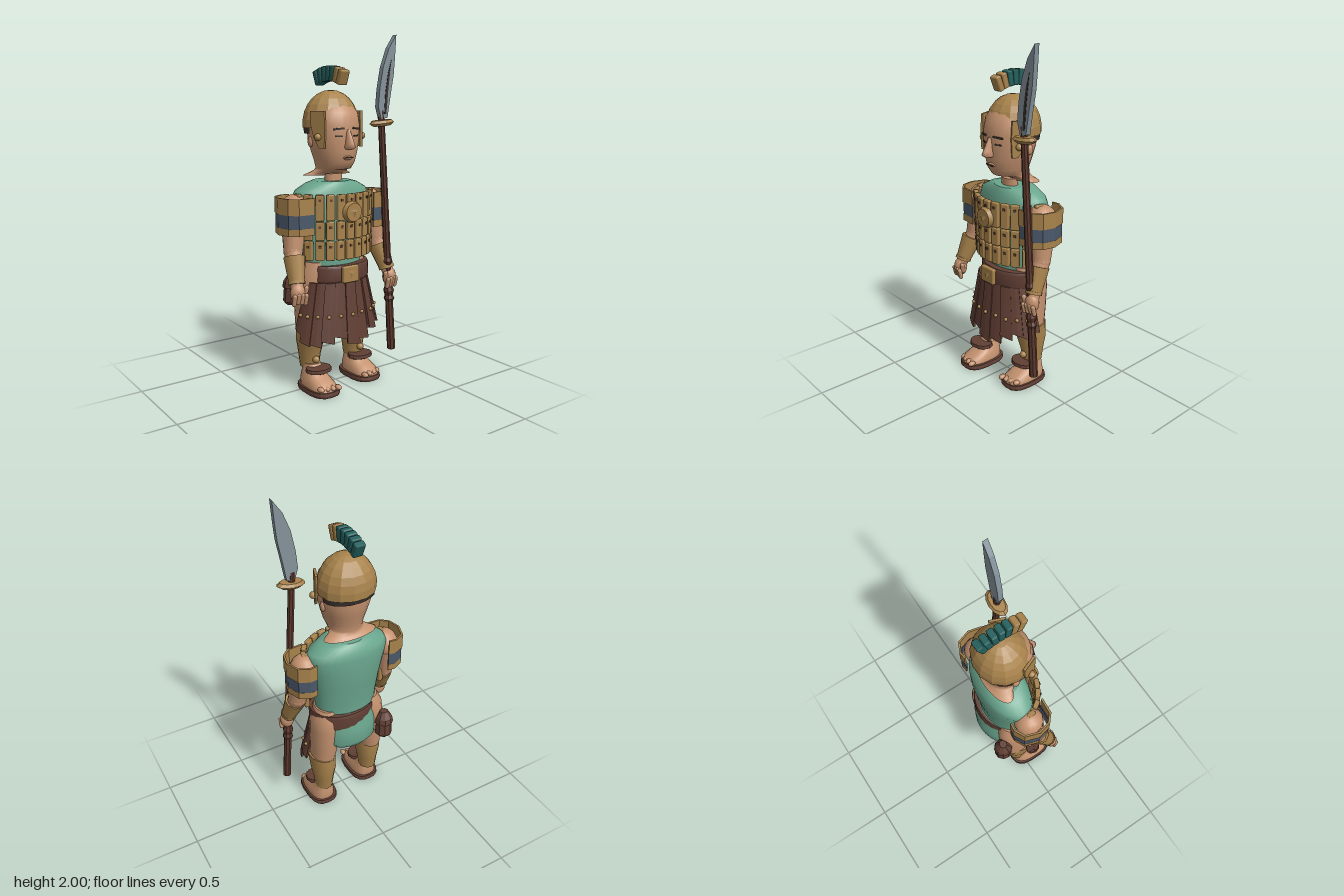
import * as THREE from 'three';
import { RoundedBoxGeometry } from 'three/addons/geometries/RoundedBoxGeometry.js';

const mat = (name, color) => Object.assign(new THREE.MeshStandardMaterial({ color }), { name });

// Stacks oval cross-sections [y, rx, zBack, zFront, xCentre], lowest first, and caps both ends.
function loft(rows, { n = 20, p = 1, flat = false } = {}) {
  const pos = [], idx = [];
  const pw = v => Math.sign(v) * Math.abs(v) ** p;
  const ring = ([y, rx, zb, zf, xc = 0]) => {
    for (let i = 0; i < n; i++) {
      const a = i / n * Math.PI * 2;
      pos.push(xc + rx * pw(Math.sin(a)), y, (zb + zf) / 2 + (zf - zb) / 2 * pw(Math.cos(a)));
    }
  };
  rows.forEach(ring);
  for (let r = 0; r < rows.length - 1; r++) for (let i = 0; i < n; i++) {
    const a = r * n + i, b = r * n + (i + 1) % n;
    idx.push(a, b, b + n, a, b + n, a + n);
  }
  [rows[0], rows[rows.length - 1]].forEach((row, top) => {
    const s = pos.length / 3;
    ring(row);
    pos.push(row[4] || 0, row[0], (row[2] + row[3]) / 2);
    for (let i = 0; i < n; i++) {
      const a = s + i, b = s + (i + 1) % n;
      idx.push(...(top ? [a, b, s + n] : [b, a, s + n]));
    }
  });
  let g = new THREE.BufferGeometry();
  g.setAttribute('position', new THREE.Float32BufferAttribute(pos, 3));
  g.setIndex(idx);
  if (flat) g = g.toNonIndexed();
  g.computeVertexNormals();
  return g;
}

export function createModel() {
  const root = new THREE.Group();
  root.name = 'spearman';
  const gold = mat('gold', 0xa8834c), skin = mat('skin', 0xc4926f), teal = mat('tunicTeal', 0x6aa68e);
  const crestTeal = mat('crestTeal', 0x23605d), leather = mat('leather', 0x613f34), wood = mat('wood', 0x5a372b);
  const blue = mat('bandBlue', 0x4b586a), steel = mat('steel', 0x84929a), dark = mat('dark', 0x37302c);

  const add = (name, geo, m, x = 0, y = 0, z = 0, rx = 0, ry = 0, rz = 0, parent = root) => {
    const mesh = new THREE.Mesh(geo, m);
    mesh.name = name;
    mesh.position.set(x, y, z);
    mesh.rotation.set(rx, ry, rz, 'YXZ');
    parent.add(mesh);
    return mesh;
  };
  const box = (w, h, d) => new THREE.BoxGeometry(w, h, d);
  const ball = (r, sx = 1, sy = 1, sz = 1) => new THREE.SphereGeometry(r, 14, 10).scale(sx, sy, sz);
  const limb = (name, p, q, rp, rq, m, n = 14) => {
    const a = new THREE.Vector3(...p), d = new THREE.Vector3(...q).sub(a);
    const mesh = add(name, new THREE.CylinderGeometry(rq, rp, d.length(), n), m);
    mesh.position.copy(a).addScaledVector(d, 0.5);
    mesh.quaternion.setFromUnitVectors(new THREE.Vector3(0, 1, 0), d.normalize());
  };
  const polygon = pts => new THREE.Shape(pts.map(([x, y]) => new THREE.Vector2(x, y)));
  const plate = (pts, depth) => new THREE.ExtrudeGeometry(polygon(pts), { depth, bevelEnabled: false });

  // Tunic and shorts
  add('tunic', loft([[0.7, 0.185, -0.16, 0.09], [0.78, 0.195, -0.16, 0.09], [0.9, 0.21, -0.175, 0.1],
    [1.02, 0.235, -0.185, 0.1], [1.1, 0.25, -0.182, 0.085], [1.14, 0.232, -0.175, 0.08],
    [1.175, 0.165, -0.155, 0.068], [1.19, 0.11, -0.14, 0.06]], { n: 28 }), teal);
  add('shorts', loft([[0.47, 0.15, -0.18, 0.04], [0.5, 0.175, -0.2, 0.06], [0.6, 0.18, -0.2, 0.08],
    [0.72, 0.18, -0.165, 0.09]], { n: 24 }), teal);
  add('neck', loft([[1.17, 0.055, -0.06, 0.02], [1.23, 0.055, -0.06, 0.02]]), skin);

  // Head with a flared neck edge
  add('head', loft([[1.22, 0.16, -0.15, -0.02], [1.232, 0.13, -0.135, -0.01], [1.248, 0.1, -0.128, 0.03],
    [1.26, 0.098, -0.128, 0.085], [1.3, 0.112, -0.132, 0.112], [1.36, 0.13, -0.15, 0.122],
    [1.42, 0.145, -0.165, 0.124], [1.5, 0.15, -0.17, 0.126], [1.57, 0.142, -0.16, 0.11],
    [1.62, 0.11, -0.14, 0.07], [1.66, 0.06, -0.1, 0.01]], { n: 24 }), skin);
  add('nose', loft([[1.372, 0.02, 0.09, 0.155], [1.385, 0.027, 0.09, 0.177], [1.405, 0.021, 0.09, 0.17],
    [1.48, 0.013, 0.09, 0.131]], { n: 10 }), skin);
  add('lips', ball(0.03, 1, 0.4, 0.45), skin, 0, 1.325, 0.115);
  add('mouth', box(0.055, 0.006, 0.009), dark, 0, 1.327, 0.126);
  for (const s of [-1, 1]) {
    add('eyebrow', box(0.06, 0.01, 0.008), dark, s * 0.058, 1.485, 0.115, 0, s * 0.35, -s * 0.08);
    add('eye', box(0.04, 0.008, 0.008), dark, s * 0.056, 1.445, 0.113, 0, s * 0.35);
    add('ear', ball(0.03, 0.4, 1, 0.7), skin, s * 0.142, 1.41, -0.04);
  }

  // Helmet, cheek guards and crest
  const dome = new THREE.SphereGeometry(1, 14, 7, 0, Math.PI * 2, 0, Math.PI * 0.54).scale(0.165, 0.185, 0.15).toNonIndexed();
  dome.computeVertexNormals();
  add('helmet', dome, gold, 0, 1.51, -0.045);
  add('helmetLining', loft([[1.455, 0.15, -0.172, 0.03], [1.5, 0.154, -0.178, 0.03]]), dark);
  for (const s of [-1, 1]) {
    const guard = plate([[-0.045, 0.2], [0.045, 0.2], [0.05, 0.1], [0.045, 0], [0.01, 0], [-0.025, 0.06], [-0.045, 0.13]], 0.014);
    if (s > 0) guard.rotateY(-Math.PI / 2); else guard.rotateY(-Math.PI / 2).translate(0.014, 0, 0);
    guard.rotateY(0);
    add('cheekGuard', guard, gold, s * 0.148, 1.38, 0.035, 0, -s * 0.38);
    add('cheekButton', ball(0.02), gold, s * 0.152, 1.44, 0.045);
  }
  for (let i = 0; i < 7; i++) {
    const a = (3 - i) * 0.128;
    add('crestSegment', new RoundedBoxGeometry(0.06, 0.085, 0.036, 1, 0.008), i < 2 ? gold : crestTeal,
      0, 1.485 + 0.3 * Math.cos(a), -0.045 + 0.3 * Math.sin(a), a);
  }

  // Chest plates in columns, three rows each: [x, z, turn]
  const columns = [[0, 0.143, 0], [0.06, 0.137, 0.18], [0.117, 0.117, 0.42], [0.168, 0.088, 0.6], [0.218, 0.045, 0.95], [0.25, -0.012, 1.3]];
  const tiers = [[0.985, 1.13], [0.875, 0.98], [0.76, 0.87]];
  for (const s of [-1, 1]) for (const [x, z, turn] of columns) {
    if (s < 0 && x === 0) continue;
    const column = new THREE.Group();
    column.name = 'plateColumn';
    column.position.set(s * x, 0, z);
    column.rotation.y = s * turn;
    root.add(column);
    tiers.forEach(([a, b], r) => {
      const h = b - a;
      add('chestPlate', new RoundedBoxGeometry(0.05, h, 0.03, 1, 0.007), gold, 0, (a + b) / 2, -r * 0.004, 0, 0, 0, column);
      add('plateStud', box(0.014, 0.014, 0.008), leather, 0, b - 0.03, 0.016 - r * 0.004, 0, 0, 0, column);
    });
  }
  add('medallion', new THREE.CylinderGeometry(0.052, 0.062, 0.026, 16), gold, 0, 1.03, 0.166, Math.PI / 2);
  add('medallionBoss', new THREE.ConeGeometry(0.034, 0.014, 3), gold, 0, 1.03, 0.184, Math.PI / 2);

  // Belt, buckle and pouch
  add('belt', loft([[0.62, 0.2, -0.18, 0.125, 0.02], [0.635, 0.203, -0.187, 0.137, 0.02], [0.705, 0.203, -0.187, 0.137, 0.02],
    [0.72, 0.2, -0.18, 0.125, 0.02]], { n: 24 }), leather);
  add('buckle', new RoundedBoxGeometry(0.11, 0.095, 0.03, 1, 0.008), gold, 0, 0.675, 0.142);
  add('buckleBoss', new THREE.ConeGeometry(0.036, 0.012, 3), gold, 0, 0.68, 0.16, Math.PI / 2);
  add('pouch', loft([[0.46, 0.035, -0.2, -0.13, -0.195], [0.48, 0.053, -0.216, -0.11, -0.195], [0.56, 0.048, -0.21, -0.115, -0.195],
    [0.563, 0.057, -0.22, -0.105, -0.195], [0.6, 0.05, -0.212, -0.115, -0.195], [0.64, 0.025, -0.185, -0.14, -0.195]],
  { n: 9, flat: true }), leather);

  // Skirt of flared leather strips, open at the back
  const hems = [0.36, 0.3, 0.29, 0.31, 0.33, 0.285, 0.3, 0.34, 0.36, 0.34, 0.37];
  hems.forEach((hem, i) => {
    const a0 = -1.72 + i * 0.3127, lift = (i % 2) * 0.008;
    const at = (u, v, w) => {
      const a = a0 + u * 0.325, k = 1 - v, off = w * 0.014 + lift;
      return [(0.19 + 0.072 * k + off) * Math.sin(a), hem + (0.63 - hem) * v - 0.02 * u * k,
        0.005 + (0.125 + 0.04 * k + off) * Math.cos(a)];
    };
    const g = new THREE.BoxGeometry(1, 1, 1, 2, 1, 1), p = g.attributes.position;
    for (let j = 0; j < p.count; j++) p.setXYZ(j, ...at(p.getX(j) + 0.5, p.getY(j) + 0.5, p.getZ(j)));
    const strip = g.toNonIndexed();
    strip.computeVertexNormals();
    add('skirtStrip', strip, leather);
    add('skirtStud', ball(0.011), gold, ...at(0.5, (0.45 - hem) / (0.63 - hem), 0.7));
  });

  for (const s of [-1, 1]) {
    const fwd = s < 0 ? 0.05 : 0, leg = fwd * 0.5;
    // Leg, greave, foot and sandal
    const part = (name, rows, m, x, z, opt) => add(name, loft(rows, opt), m, s * x, 0, z);
    part('thigh', [[0.34, 0.068, -0.13, 0.05, s * 0.015], [0.45, 0.08, -0.145, 0.05, s * 0.005], [0.6, 0.087, -0.155, 0.05],
      [0.68, 0.083, -0.15, 0.055, -s * 0.005], [0.74, 0.062, -0.125, 0.05, -s * 0.012]], skin, 0.148, 0);
    part('greave', [[0.12, 0.053, -0.115, 0.005], [0.2, 0.062, -0.127, 0.02], [0.28, 0.075, -0.143, 0.045],
      [0.37, 0.078, -0.138, 0.08]], gold, 0.165, leg, { n: 14 });
    add('greaveStud', ball(0.021), gold, s * 0.168, 0.175, 0.02 + leg);
    part('foot', [[0.03, 0.077, -0.11, 0.145], [0.055, 0.076, -0.112, 0.135], [0.08, 0.065, -0.11, 0.08],
      [0.115, 0.052, -0.105, 0.02], [0.15, 0.045, -0.1, 0.0]], skin, 0.168, fwd, { n: 18, p: 0.75 });
    for (let i = 0; i < 4; i++) add('toe', ball(0.019, 0.9, 0.8, 1.3), skin, s * (0.115 + i * 0.034), 0.045, fwd + 0.137 - i * 0.008);
    part('sandalSole', [[0, 0.088, -0.122, 0.152], [0.012, 0.092, -0.125, 0.156], [0.03, 0.089, -0.122, 0.152]],
      leather, 0.166, fwd, { n: 18, p: 0.7, flat: true });
    part('soleTread', [[-0.0, 0.075, -0.11, 0.14], [0.004, 0.075, -0.11, 0.14]], dark, 0.166, fwd, { n: 18, p: 0.7, flat: true });
    part('ankleStrap', [[0.112, 0.07, -0.04, 0.072], [0.118, 0.08, -0.045, 0.082], [0.138, 0.076, -0.042, 0.08]],
      leather, 0.167, fwd, { n: 12, flat: true });

    // Arm, bracer and hand
    add('shoulder', ball(0.084), skin, s * 0.255, 1.045, -0.03);
    limb('upperArm', [s * 0.262, 1.05, -0.03], [s * 0.29, 0.82, 0.005], 0.078, 0.054, skin);
    add('elbow', ball(0.055), skin, s * 0.29, 0.82, 0.005);
    limb('forearm', [s * 0.29, 0.82, 0.005], [s * 0.322, 0.62, 0.095], 0.053, 0.034, skin);
    limb('bracer', [s * 0.295, 0.79, 0.025], [s * 0.316, 0.655, 0.08], 0.062, 0.044, gold, 10);
    limb('bracerRim', [s * 0.315, 0.665, 0.077], [s * 0.317, 0.65, 0.083], 0.048, 0.048, gold, 10);
    add('hand', ball(0.045, 0.95, 1.25, 0.85), skin, s * 0.322, 0.605, 0.098);
    for (let i = 0; i < 4; i++)
      add('finger', new THREE.CapsuleGeometry(0.013, 0.045, 3, 8), skin, s * (0.288 + i * 0.022), 0.572 + (i % 3) * 0.004, 0.128 - i * 0.004, 0.25);
    add('thumb', new THREE.CapsuleGeometry(0.014, 0.045, 3, 8), skin, s * 0.282, 0.61, 0.115, 0.2, 0, s * 0.2);

    // Open shoulder guard in three bands
    const rim = [[0.205, 0.092], [0.3, 0.085], [0.345, 0.045], [0.362, -0.03], [0.335, -0.11], [0.275, -0.14], [0.23, -0.135]];
    const ringAt = k => rim.map(([x, z]) => [s * (0.25 + (x - 0.25) * k), -(-0.03 + (z + 0.03) * k)]);
    const band = (name, y, h, k, m) => add(name,
      plate([...ringAt(k), ...ringAt(k - 0.1).reverse()], h).rotateX(-Math.PI / 2), m, 0, y, 0);
    band('shoulderGuardLower', 0.91, 0.04, 0.99, gold);
    band('shoulderGuardBand', 0.95, 0.075, 0.98, blue);
    band('shoulderGuardUpper', 1.025, 0.09, 1.02, gold);
  }

  // Spear: shaft along a leaning axis, then guard and blade
  const spear = new THREE.Group();
  spear.name = 'spear';
  spear.position.set(0.345, 0.15, 0.1);
  spear.rotation.z = 0.07;
  root.add(spear);
  const shaft = [[0, 0], [0.025, 0], [0.023, 0.3], [0.032, 0.32], [0.024, 0.34], [0.032, 0.37], [0.022, 0.4], [0.022, 0.53],
    [0.029, 0.55], [0.022, 0.57], [0.019, 1.434], [0, 1.434]].map(([x, y]) => new THREE.Vector2(x, y));
  const shaftGeo = new THREE.LatheGeometry(shaft, 8).toNonIndexed();
  shaftGeo.computeVertexNormals();
  add('spearShaft', shaftGeo, wood, 0, 0, 0, 0, 0, 0, spear);
  add('spearGuard', loft([[-0.016, 0.06, -0.035, 0.035], [0, 0.083, -0.046, 0.046], [0.016, 0.065, -0.036, 0.036]], { n: 12, flat: true }),
    gold, 0.252, 1.51, 0.1, 0, 0, 0.08);
  add('spearBlade', plate([[0.235, 1.53], [0.28, 1.54], [0.3, 1.66], [0.322, 1.78], [0.33, 1.88], [0.337, 2],
    [0.285, 1.925], [0.245, 1.82], [0.222, 1.7], [0.213, 1.6]], 0.03), steel, 0, 0, 0.087);
  add('bladeGroove', plate([[0.255, 1.56], [0.27, 1.56], [0.282, 1.7], [0.302, 1.86], [0.28, 1.79], [0.262, 1.68]], 0.004), dark, 0, 0, 0.115);
  return root;
}
